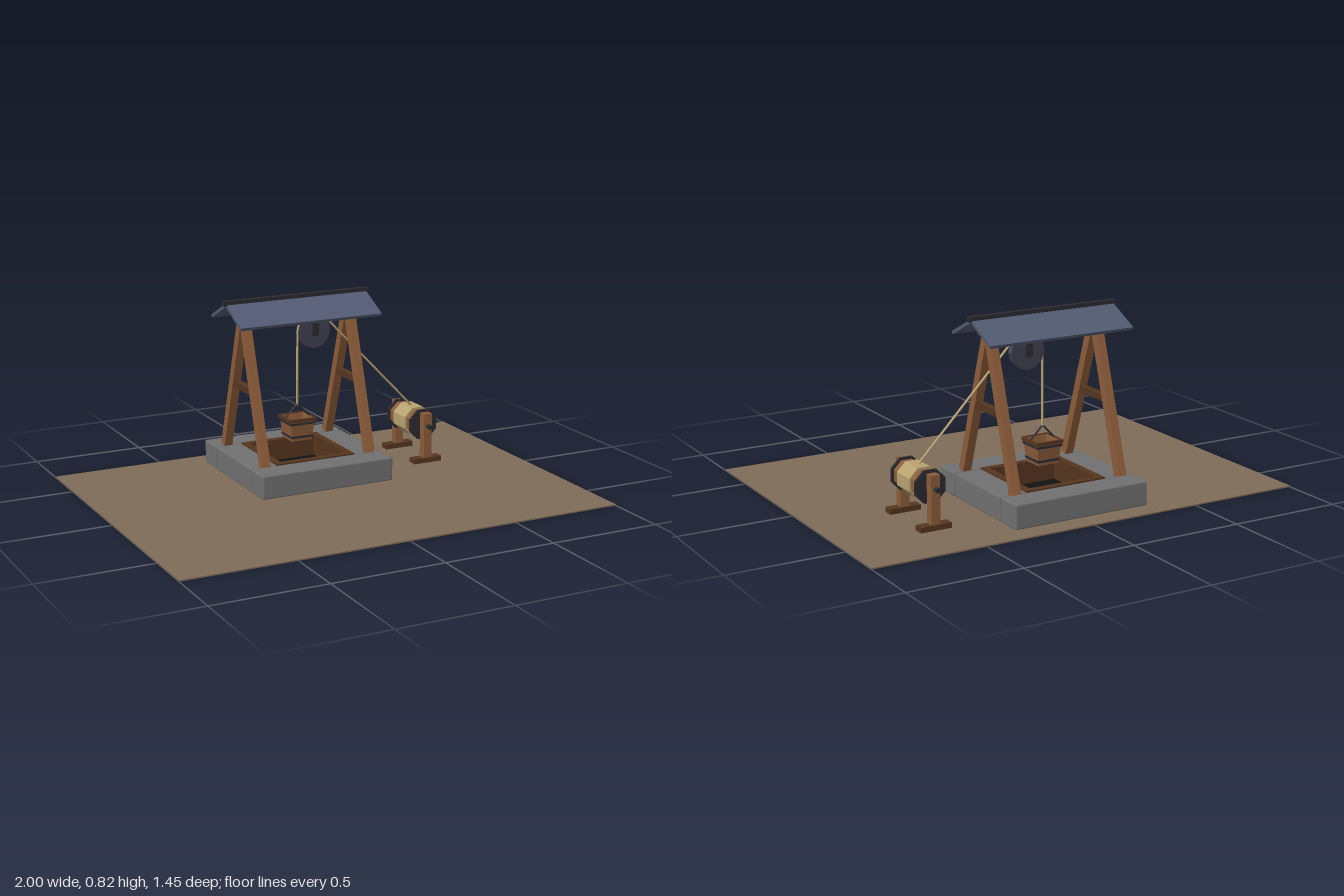
import * as THREE from 'three';
import { RoundedBoxGeometry } from 'three/addons/geometries/RoundedBoxGeometry.js';

const mat = (color) => new THREE.MeshStandardMaterial({ color, flatShading: true });
const M = {
  soil: mat(0x7f6c58), stone: mat(0x707070), wood: mat(0x8c5c3a), darkWood: mat(0x55351f),
  roof: mat(0x525a72), iron: mat(0x2a2a30), wheel: mat(0x404050), rope: mat(0xb8a270), pit: mat(0x121212),
};
const WELL_Z = -0.317;

export function createModel() {
  const model = new THREE.Group();

  const add = (parent, name, geometry, material, x = 0, y = 0, z = 0) => {
    const mesh = new THREE.Mesh(geometry, material);
    mesh.name = name;
    mesh.position.set(x, y, z);
    parent.add(mesh);
    return mesh;
  };
  const box = (parent, name, material, w, h, d, x, y, z) =>
    add(parent, name, new THREE.BoxGeometry(w, h, d), material, x, y, z);
  const group = (name, x, y, z) => {
    const g = new THREE.Group();
    g.name = name;
    g.position.set(x, y, z);
    model.add(g);
    return g;
  };
  // Stretch a shape built along y between two points
  const span = (parent, name, material, a, b, shape) => {
    const p = new THREE.Vector3(...a), q = new THREE.Vector3(...b);
    const dir = q.clone().sub(p), mid = p.clone().add(q).multiplyScalar(0.5);
    const mesh = add(parent, name, shape(dir.length()), material, mid.x, mid.y, mid.z);
    mesh.quaternion.setFromUnitVectors(new THREE.Vector3(0, 1, 0), dir.normalize());
    return mesh;
  };
  const post = (t) => (len) => new THREE.BoxGeometry(t, len, t);
  const cord = (r) => (len) => new THREE.CylinderGeometry(r, r, len, 6);
  // Cylinder lying along z
  const rod = (parent, name, material, r, len, sides, x, y, z) => {
    const g = new THREE.CylinderGeometry(r, r, len, sides);
    g.rotateY(Math.PI / sides).rotateX(Math.PI / 2);
    return add(parent, name, g, material, x, y, z);
  };
  const lathe = (pts, sides, start = 0) =>
    new THREE.LatheGeometry(pts.map(([x, y]) => new THREE.Vector2(x, y)), sides, start);

  box(model, 'ground', M.soil, 2, 0.006, 1.45, 0, 0.003, 0);

  // Stone curb and timber-lined shaft
  const curb = group('curb', 0, 0, WELL_Z);
  const stone = (name, w, d, x, z) =>
    add(curb, name, new RoundedBoxGeometry(w, 0.106, d, 1, 0.006), M.stone, x, 0.058, z);
  for (const s of [-1, 1]) {
    stone('curbLongStone', 0.632, 0.122, 0, s * 0.255);
    stone('curbSideStone', 0.125, 0.378, s * 0.253, 0);
    box(curb, 'shaftLiningSide', M.darkWood, 0.03, 0.108, 0.38, s * 0.175, 0.06, 0);
    box(curb, 'shaftLiningEnd', M.darkWood, 0.32, 0.108, 0.03, 0, 0.06, s * 0.175);
  }
  box(curb, 'shaftOpening', M.pit, 0.32, 0.01, 0.32, 0, 0.012, 0);

  // A-frames carrying the ridge beam
  const frame = group('frame', 0, 0, WELL_Z);
  for (const x of [-0.255, 0.255]) {
    for (const s of [-1, 1])
      span(frame, 'leg', M.wood, [x, 0.113, s * 0.207], [x, 0.75, s * 0.003], post(0.038));
    box(frame, 'crossbar', M.darkWood, 0.03, 0.028, 0.195, x, 0.424, 0);
    box(frame, 'legCap', M.darkWood, 0.05, 0.028, 0.07, x, 0.743, 0);
  }
  box(frame, 'ridgeBeam', M.darkWood, 0.6, 0.045, 0.042, 0, 0.76, 0);

  // Gabled roof
  const roof = group('roof', 0, 0, WELL_Z);
  for (const s of [-1, 1]) {
    const panel = box(roof, 'roofPanel', M.roof, 0.68, 0.014, 0.175, 0, 0.762, s * 0.078);
    panel.rotation.x = s * 0.46;
  }
  box(roof, 'ridgeCap', M.iron, 0.705, 0.022, 0.024, 0, 0.808, 0);

  // Grooved pulley in its hanger
  const pulley = group('pulley', 0.08, 0.647, WELL_Z);
  const wheel = add(pulley, 'pulleyWheel', lathe([
    [0, -0.015], [0.078, -0.015], [0.078, -0.008], [0.068, 0], [0.078, 0.008], [0.078, 0.015], [0, 0.015],
  ], 12), M.wheel);
  wheel.rotation.x = Math.PI / 2;
  rod(pulley, 'pulleyAxle', M.iron, 0.016, 0.064, 8, 0, 0, 0);
  for (const s of [-1, 1])
    box(pulley, 'hangerPlate', M.iron, 0.03, 0.12, 0.008, 0, 0.04, s * 0.024);
  box(pulley, 'hangerTop', M.iron, 0.03, 0.012, 0.056, 0, 0.094, 0);

  // Square tapered bucket with hollow inside
  const bucket = group('bucket', 0, 0.16, WELL_Z);
  const R = Math.SQRT2;
  add(bucket, 'bucketBody', lathe([
    [0, 0], [0.048 * R, 0], [0.06 * R, 0.1], [0.05 * R, 0.1], [0.04 * R, 0.012], [0, 0.012],
  ], 4, Math.PI / 4), M.wood);
  const hoop = (name, half, y, h, material) => add(bucket, name, lathe([
    [half * 0.85 * R, y], [half * R, y], [half * R, y + h], [half * 0.85 * R, y + h], [half * 0.85 * R, y],
  ], 4, Math.PI / 4), material);
  hoop('lowerBand', 0.053, 0.014, 0.01, M.iron);
  hoop('upperBand', 0.061, 0.076, 0.01, M.iron);
  hoop('bucketRim', 0.064, 0.09, 0.014, M.darkWood);
  for (const s of [-1, 1])
    span(bucket, 'handle', M.iron, [s * 0.06, 0.1, 0], [0, 0.16, 0], cord(0.004));

  // Ropes: down to the bucket, over the wheel, out to the winch
  const ropes = group('ropes', 0, 0, WELL_Z);
  span(ropes, 'bucketRope', M.rope, [0.003, 0.65, 0], [0, 0.315, 0], cord(0.005));
  span(ropes, 'winchRope', M.rope, [0.136, 0.706, 0], [0.588, 0.238, 0], cord(0.005));
  const over = add(ropes, 'wheelRope',
    new THREE.TorusGeometry(0.076, 0.005, 6, 12, Math.PI * 0.75), M.rope, 0.08, 0.647, 0);
  over.rotation.z = Math.PI / 4;

  // Winch with octagonal drum
  const winch = group('winch', 0.588, 0.177, WELL_Z);
  const flat = 1 / Math.cos(Math.PI / 8);
  rod(winch, 'drum', M.wood, 0.058 * flat, 0.2, 8, 0, 0, 0);
  rod(winch, 'ropeCoil', M.rope, 0.066 * flat, 0.108, 8, 0, 0, 0);
  rod(winch, 'axle', M.iron, 0.011, 0.35, 8, 0, 0, 0);
  for (const s of [-1, 1]) {
    rod(winch, 'flange', M.iron, 0.068 * flat, 0.012, 8, 0, 0, s * 0.103);
    box(winch, 'winchPost', M.wood, 0.04, 0.21, 0.038, 0, -0.047, s * 0.133);
    box(winch, 'winchFoot', M.darkWood, 0.14, 0.024, 0.045, 0, -0.16, s * 0.133);
  }
  return model;
}
